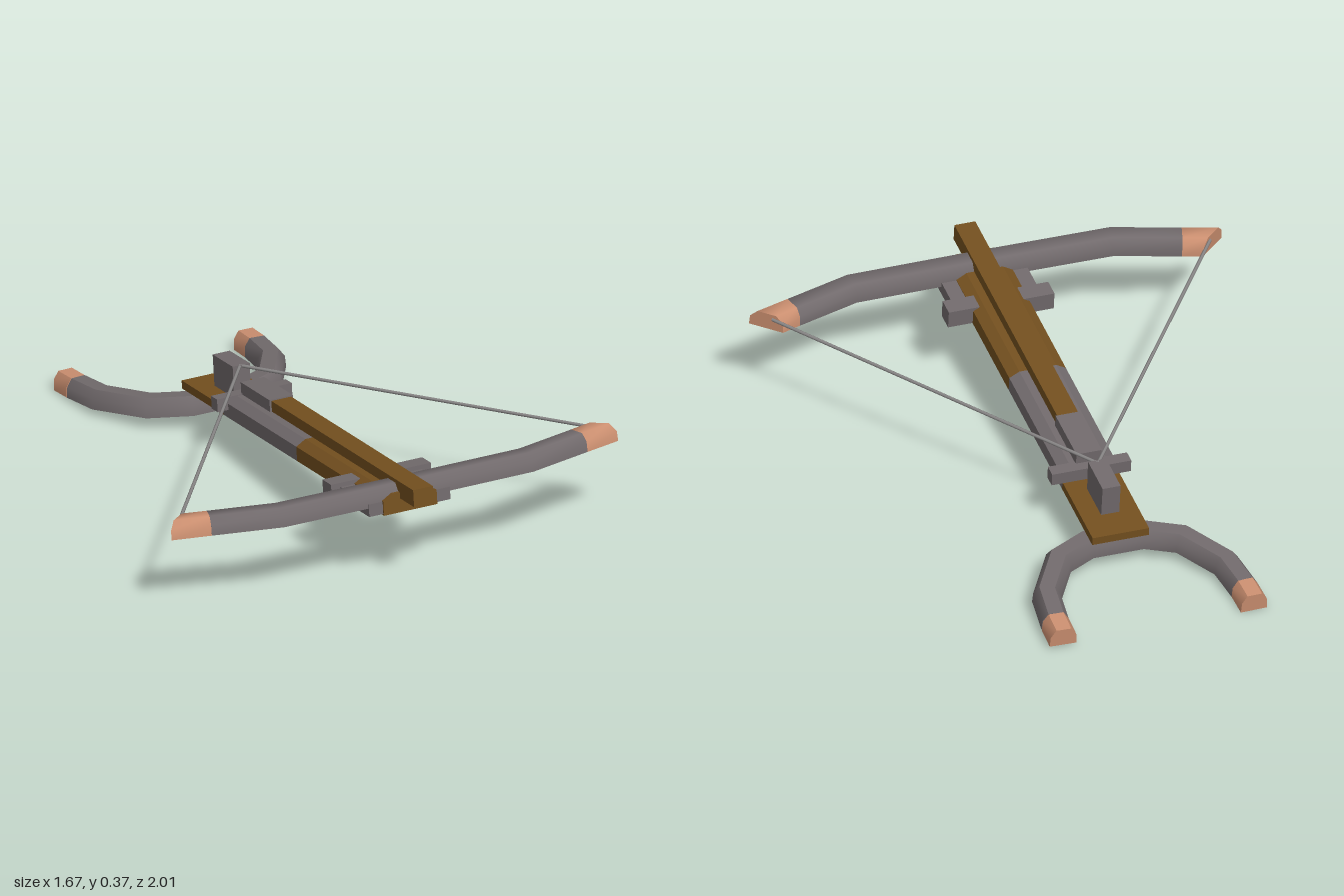
import * as THREE from 'three';
import { toCreasedNormals } from 'three/addons/utils/BufferGeometryUtils.js';

const material = (name, color) => {
  const m = new THREE.MeshStandardMaterial({ color });
  m.name = name;
  return m;
};

// Arched section with a flat underside: u across, v up
const ARCH = [[-1, -1], [1, -1], [0.95, 0.15], [0.55, 1], [-0.55, 1], [-0.95, 0.15]];

// Sweeps the arch along a flat path of [x, z] points; a point [x, z, cx, cz] sets its own end cut
function sweep(path, y, halfWidth, halfHeight) {
  const at = (i) => new THREE.Vector2(path[i][0], path[i][1]);
  const rings = path.map((p, i) => {
    const a = at(Math.max(i - 1, 0)), b = at(i), c = at(Math.min(i + 1, path.length - 1));
    const d1 = b.clone().sub(a).normalize(), d2 = c.clone().sub(b).normalize();
    const d = d1.clone().add(d2).normalize();
    const miter = 1 / Math.max(d.dot(i ? d1 : d2), 0.5);
    const side = p.length > 2 ? [p[2], p[3]] : [-d.y * halfWidth * miter, d.x * halfWidth * miter];
    return ARCH.map(([u, v]) => [p[0] + side[0] * u, y + v * halfHeight, p[1] + side[1] * u]);
  });
  const pos = [], n = ARCH.length, last = rings[rings.length - 1];
  const tri = (a, b, c) => pos.push(...a, ...b, ...c);
  for (let i = 0; i < rings.length - 1; i++) {
    for (let j = 0; j < n; j++) {
      const k = (j + 1) % n, r = rings[i], s = rings[i + 1];
      tri(r[j], s[j], s[k]);
      tri(r[j], s[k], r[k]);
    }
  }
  for (let j = 1; j < n - 1; j++) {
    tri(rings[0][0], rings[0][j], rings[0][j + 1]);
    tri(last[0], last[j + 1], last[j]);
  }
  const g = new THREE.BufferGeometry();
  g.setAttribute('position', new THREE.Float32BufferAttribute(pos, 3));
  return toCreasedNormals(g, 0.95);
}

const mirrored = (path) =>
  path.map(([x, z, cx, cz]) => (cx === undefined ? [-x, z] : [-x, z, -cx, cz])).reverse();

export function createModel() {
  const model = new THREE.Group();
  model.name = 'crossbow';
  const wood = material('brown wood', 0x74501f);
  const metal = material('grey metal', 0x716a6c);
  const copper = material('copper', 0xcb8f70);
  const cord = material('cord grey', 0x8a8888);

  const add = (name, geometry, mat) => {
    const mesh = new THREE.Mesh(geometry, mat);
    mesh.name = name;
    model.add(mesh);
    return mesh;
  };
  const box = (name, mat, x, y0, y1, z0, z1) =>
    add(name, new THREE.BoxGeometry(2 * x, y1 - y0, z1 - z0), mat)
      .position.set(0, (y0 + y1) / 2, (z0 + z1) / 2);

  // Stock with bevelled upper edges
  const stock = (name, mat, z0, z1) => {
    const shape = new THREE.Shape([[-0.1, 0.171], [0.1, 0.171], [0.1, 0.222], [0.065, 0.242],
      [-0.065, 0.242], [-0.1, 0.222]].map(([x, y]) => new THREE.Vector2(x, y)));
    const g = new THREE.ExtrudeGeometry(shape, { depth: z1 - z0, bevelEnabled: false });
    add(name, g.translate(0, 0, z0), mat);
  };
  stock('frontStock', wood, 0.25, 0.9);
  stock('middleStock', metal, -0.3, 0.25);
  box('rearStock', wood, 0.1, 0.171, 0.2, -0.61, -0.3);

  // Rail, latch and trigger along the top
  box('rail', wood, 0.037, 0.22, 0.28, -0.06, 1.005);
  box('latch', metal, 0.044, 0.225, 0.284, -0.27, -0.055);
  box('rearCrossbar', metal, 0.14, 0.2, 0.245, -0.305, -0.26);
  const lever = new THREE.Shape([[-0.5, 0.2], [-0.355, 0.2], [-0.35, 0.312], [-0.5, 0.311]]
    .map(([z, y]) => new THREE.Vector2(-z, y)));
  const leverGeometry = new THREE.ExtrudeGeometry(lever, { depth: 0.064, bevelEnabled: false });
  add('trigger', leverGeometry.translate(0, 0, -0.032).rotateY(Math.PI / 2), metal);

  // Bow mount
  box('mountPlate', metal, 0.152, 0.176, 0.22, 0.62, 0.895);
  box('mountCrossbar', metal, 0.187, 0.172, 0.235, 0.62, 0.685);

  // Bow with copper tips
  const bowHalf = [[0.46, 0.84], [0.69, 0.774]];
  const bowTip = [[0.69, 0.774], [0.79, 0.745, 0.047, 0.04]];
  add('bow', sweep([...mirrored(bowHalf), [0, 0.843], ...bowHalf], 0.236, 0.05, 0.031), metal);
  add('leftBowTip', sweep(bowTip, 0.236, 0.05, 0.031), copper);
  add('rightBowTip', sweep(mirrored(bowTip), 0.236, 0.05, 0.031), copper);

  // Forked shoulder rest with copper ends
  const forkHalf = [[0.1, -0.555], [0.22, -0.615], [0.318, -0.78], [0.335, -0.92]];
  const forkEnd = [[0.335, -0.92], [0.338, -1.01]];
  add('shoulderFork', sweep([...mirrored(forkHalf), ...forkHalf], 0.138, 0.047, 0.032), metal);
  add('leftForkEnd', sweep(forkEnd, 0.138, 0.047, 0.032), copper);
  add('rightForkEnd', sweep(mirrored(forkEnd), 0.138, 0.047, 0.032), copper);

  // Drawn string
  for (const s of [1, -1]) {
    const line = new THREE.LineCurve3(
      new THREE.Vector3(s * 0.775, 0.25, 0.73), new THREE.Vector3(0, 0.307, -0.36));
    add(s > 0 ? 'leftString' : 'rightString', new THREE.TubeGeometry(line, 1, 0.006, 6), cord);
  }

  // Resting tilt
  model.rotation.set(-0.096, -0.013, 0.012);
  model.position.set(0.006, 0, 0.02);
  const root = new THREE.Group();
  root.add(model);
  return root;
}
